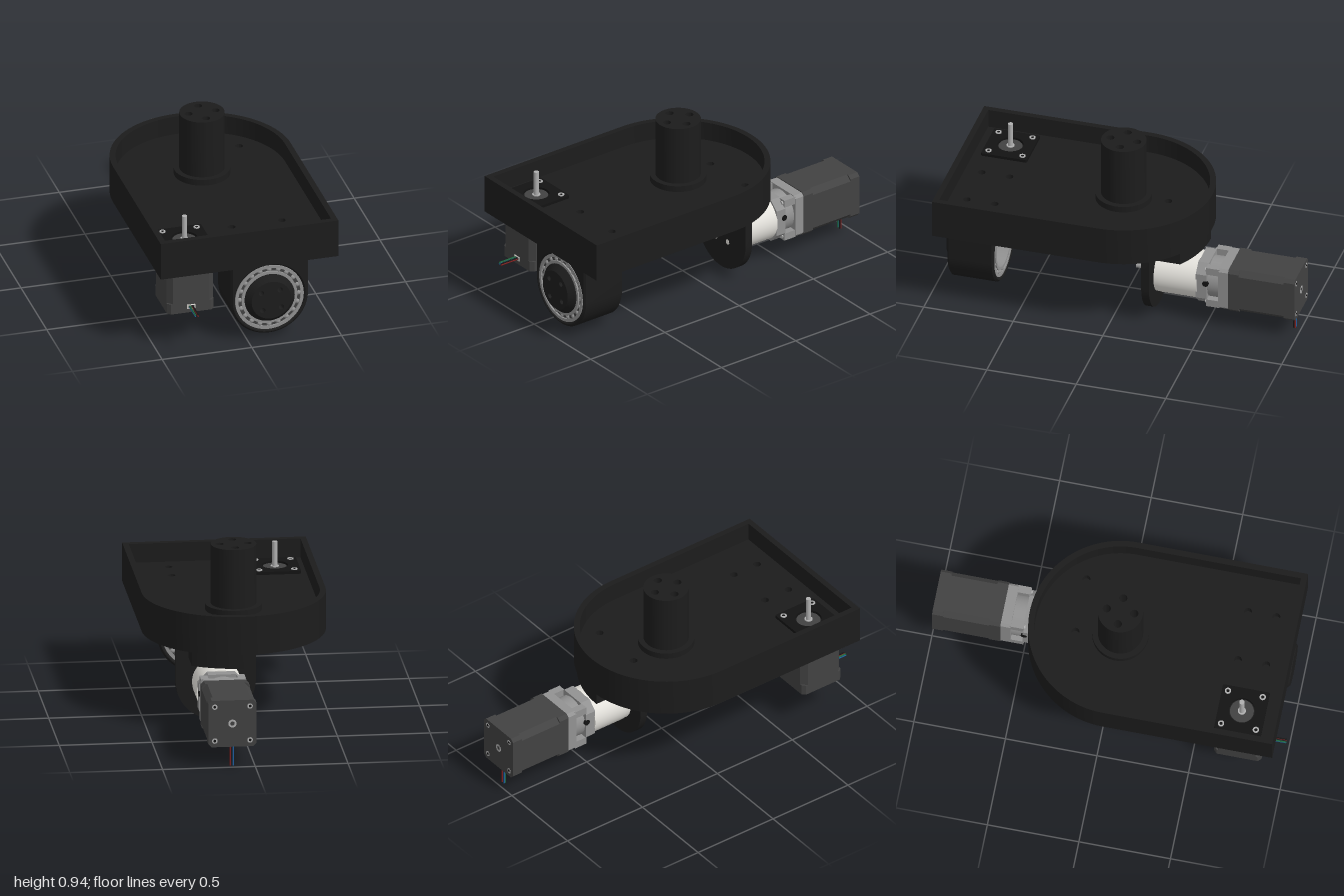
import * as THREE from 'three';
import { toCreasedNormals } from 'three/addons/utils/BufferGeometryUtils.js';

const mat = (color) => new THREE.MeshStandardMaterial({ color });
const BLACK = mat(0x1c1c1c), DARK = mat(0x424242), GREY = mat(0x929292), STEEL = mat(0xb0b0b0);
const PALE = mat(0xe6e4de), DEEP = mat(0x131313);
const WIRES = [mat(0x2060a0), mat(0x802020), mat(0x206a40), mat(0x181818)];

function add(parent, name, geo, material, x = 0, y = 0, z = 0) {
  const m = new THREE.Mesh(geo, material);
  m.name = name;
  m.position.set(x, y, z);
  parent.add(m);
  return m;
}
const cyl = (r, h, seg = 32) => new THREE.CylinderGeometry(r, r, h, seg);
const box = (w, h, d) => new THREE.BoxGeometry(w, h, d);
const extrude = (shape, depth, opts = {}) => toCreasedNormals(
  new THREE.ExtrudeGeometry(shape, { depth, bevelEnabled: false, curveSegments: 40, ...opts }), 0.5);
// Plan-view shape (x, z) extruded downwards from y = 0
const slab = (shape, depth) => extrude(shape, depth).rotateX(Math.PI / 2);
const circle = (r, x = 0, y = 0) => new THREE.Shape().absarc(x, y, r, 0, Math.PI * 2);

function withHoles(shape, points, r) {
  for (const [x, y] of points) shape.holes.push(circle(r, x, y));
  return shape;
}
// Rectangular-section ring around y
const ring = (ri, ro, h) => toCreasedNormals(new THREE.LatheGeometry(
  [[ri, -h / 2], [ro, -h / 2], [ro, h / 2], [ri, h / 2], [ri, -h / 2]]
    .map(([a, b]) => new THREE.Vector2(a, b)), 64), 0.5);
const corners = (d) => [[-d, -d], [d, -d], [d, d], [-d, d]];

// Tray plan, counter-clockwise: square front, semicircular back
function trayOutline(inset) {
  const w = 0.495 - inset, f = 0.956 - inset;
  return new THREE.Shape().moveTo(w, f).lineTo(-w, f).lineTo(-w, 0.03)
    .absarc(0, 0.03, w, Math.PI, Math.PI * 2).lineTo(w, f);
}

// Round-bottomed hanging plate, centred on its arc
function hanger() {
  const r = 0.216;
  return new THREE.Shape().moveTo(r, 0.225).lineTo(-r, 0.225).lineTo(-r, 0)
    .absarc(0, 0, r, Math.PI, Math.PI * 2).lineTo(r, 0.225);
}

function chamferSquare(h, c) {
  return new THREE.Shape([[-h + c, -h], [h - c, -h], [h, -h + c], [h, h - c], [h - c, h],
    [-h + c, h], [-h, h - c], [-h, -h + c]].map(([x, y]) => new THREE.Vector2(x, y)));
}

// Square motor: rear at y = 0, shaft towards +y, wires towards +z
function motor(name, length) {
  const g = new THREE.Group();
  g.name = name;
  const part = (n, c, depth, top) => add(g, n, slab(chamferSquare(0.13, c), depth), DARK, 0, top, 0);
  part('motorRearCap', 0.018, 0.06, 0.06);
  part('motorBody', 0.03, length - 0.12, length - 0.06);
  part('motorFrontCap', 0.018, 0.06, length);
  for (const [x, z] of corners(0.095)) {
    add(g, 'rearScrew', cyl(0.015, 0.006, 20), STEEL, x, 0.002, z);
    add(g, 'rearScrewSocket', cyl(0.008, 0.006, 6), DEEP, x, 0.0015, z);
  }
  add(g, 'rearBearing', ring(0.012, 0.022, 0.006), STEEL, 0, 0.002, 0);
  add(g, 'connector', box(0.044, 0.024, 0.012), PALE, 0, 0.035, 0.128);
  add(g, 'connectorSocket', box(0.034, 0.016, 0.002), DARK, 0, 0.035, 0.134);
  // Two columns of two wires
  WIRES.forEach((m, i) => {
    const w = add(g, 'wire', cyl(0.004, 0.114, 8), m,
      i % 2 ? 0.008 : -0.008, i < 2 ? 0.031 : 0.039, 0.187);
    w.rotation.x = Math.PI / 2;
  });
  return g;
}

// Ball bearing with its axis along y
function bearing() {
  const g = new THREE.Group(), w = 0.07;
  g.name = 'ballBearing';
  add(g, 'outerRace', ring(0.174, 0.191, w), GREY);
  add(g, 'innerRace', ring(0.138, 0.155, w), GREY);
  add(g, 'cage', ring(0.154, 0.175, w - 0.02), DARK);
  for (let i = 0; i < 20; i++) {
    const a = (i / 20) * Math.PI * 2;
    for (const s of [-1, 1])
      add(g, 'ball', new THREE.SphereGeometry(0.0155, 14, 10), GREY,
        0.1645 * Math.cos(a), s * 0.0185, 0.1645 * Math.sin(a));
  }
  return g;
}

export function createModel() {
  const model = new THREE.Group();
  const cx = 0.123, cy = 0.245, floorY = 0.57;

  // Tray: solid underside, blind-drilled floor and surrounding wall
  const tray = new THREE.Group();
  tray.name = 'tray';
  model.add(tray);
  const drilled = withHoles(trayOutline(0.01), [[-0.03, -0.21], [0.275, -0.21],
    [-0.02, 0.675], [0.26, 0.675], [-0.02, 0.83], [0.26, 0.83]], 0.021);
  add(tray, 'trayFloor', slab(drilled, 0.05), BLACK, 0, floorY, 0);
  add(tray, 'trayUnderside', slab(trayOutline(0.01), 0.059), BLACK, 0, floorY - 0.05, 0);
  const wall = trayOutline(0);
  wall.holes.push(trayOutline(0.032));
  add(tray, 'trayWall', slab(wall, 0.215), BLACK, 0, 0.676, 0);

  // Central post
  const bolts = [[0, 0.075], [0, -0.075], [0.075, 0], [-0.075, 0]];
  add(model, 'post', slab(withHoles(circle(0.122), bolts, 0.022), 0.366), BLACK, 0, 0.936, 0.03);
  add(model, 'postFlange', ring(0.12, 0.152, 0.035), BLACK, 0, floorY + 0.017, 0.03);

  // Front bearing block with a bearing at each end
  const block = new THREE.Group();
  block.name = 'bearingBlock';
  block.position.set(cx, cy, 0);
  model.add(block);
  const blockShape = withHoles(hanger(), [[0, 0]], 0.19);
  add(block, 'blockBody', extrude(blockShape, 0.24,
    { bevelEnabled: true, bevelThickness: 0.01, bevelSize: 0.01, bevelOffset: -0.01, bevelSegments: 1 }),
    BLACK, 0, 0, 0.668);
  for (const z of [0.697, 0.88]) {
    const b = bearing();
    b.position.z = z;
    b.rotation.x = Math.PI / 2;
    block.add(b);
  }
  add(block, 'spacer', ring(0.15, 0.188, 0.115), GREY, 0, 0, 0.788).rotation.x = Math.PI / 2;

  // Hub cap with chamfered rim and through holes
  const rim = [[0.105, 0.85], [0.139, 0.85], [0.139, 0.92], [0.11, 0.952], [0.105, 0.952]]
    .map(([r, y]) => new THREE.Vector2(r, y));
  add(block, 'hubRim', toCreasedNormals(new THREE.LatheGeometry(rim, 64), 0.4), BLACK).rotation.x = Math.PI / 2;
  const hubHoles = corners(0.052).map(([x, y]) => [x - y * 0.07, y + x * 0.07]);
  add(block, 'hubFace', extrude(withHoles(circle(0.11), hubHoles, 0.0145), 0.102), BLACK, 0, 0, 0.85);

  // Rear mounting plate, with a block filling up to the tray edge
  const plate = new THREE.Group();
  plate.name = 'rearMount';
  model.add(plate);
  add(plate, 'rearPlate', extrude(hanger(), 0.043), BLACK, cx, cy, -0.21);
  for (const [x, y] of hubHoles)
    add(plate, 'plateScrew', cyl(0.015, 0.006, 20), PALE, cx + x, cy + y, -0.169).rotation.x = Math.PI / 2;
  const rib = new THREE.Shape().moveTo(-0.02, -0.2).lineTo(0.27, -0.2).lineTo(0.27, -0.365)
    .quadraticCurveTo(0.14, -0.45, -0.02, -0.45).lineTo(-0.02, -0.2);
  add(plate, 'mountRib', slab(rib, 0.085), BLACK, 0, 0.465, 0);

  // Rear drive: motor, adapter, gearbox and output shaft along z
  const drive = motor('driveMotor', 0.372);
  drive.position.set(cx, cy, -0.998);
  drive.rotation.x = Math.PI / 2;
  model.add(drive);
  add(drive, 'adapterFlange', slab(chamferSquare(0.125, 0.015), 0.055), GREY, 0, 0.427, 0);
  add(drive, 'adapterCore', cyl(0.113, 0.18, 40), GREY, 0, 0.46, 0);
  add(drive, 'adapterCollar', slab(chamferSquare(0.124, 0.05), 0.06), GREY, 0, 0.553, 0);
  for (const [x, z] of corners(0.1)) {
    add(drive, 'adapterRib', box(0.042, 0.075, 0.042), GREY, x, 0.46, z);
    add(drive, 'adapterScrew', cyl(0.012, 0.02, 16), STEEL, x, 0.495, z);
  }
  for (const s of [-1, 1])
    add(drive, 'clampScrew', cyl(0.017, 0.012, 20), DEEP, s * 0.1195, 0.5, -0.02).rotation.z = Math.PI / 2;
  add(drive, 'gearbox', cyl(0.13, 0.21, 56), PALE, 0, 0.655, 0);
  add(drive, 'gearboxNose', cyl(0.128, 0.035, 56), PALE, 0, 0.772, 0);
  add(drive, 'outputShaft', cyl(0.023, 0.15, 28), STEEL, 0, 0.842, 0);

  // Upright motor under the front corner, its shaft rising through the tray
  const upright = motor('uprightMotor', 0.36);
  upright.position.set(-0.305, 0.201, 0.753);
  model.add(upright);
  add(upright, 'topPad', slab(withHoles(chamferSquare(0.128, 0.005), [[0, 0]], 0.07), 0.02), DEEP, 0, 0.385, 0);
  for (const [x, z] of corners(0.095)) {
    add(upright, 'padScrew', ring(0.009, 0.017, 0.008), STEEL, x, 0.386, z);
    add(upright, 'padScrewSocket', cyl(0.009, 0.005, 6), DEEP, x, 0.386, z);
  }
  add(upright, 'pilotDisc', cyl(0.064, 0.012, 40), DARK, 0, 0.371, 0);
  add(upright, 'shaftBearing', ring(0.013, 0.022, 0.016), STEEL, 0, 0.374, 0);
  add(upright, 'motorShaft', cyl(0.014, 0.16, 24), STEEL, 0, 0.437, 0);

  return model;
}
